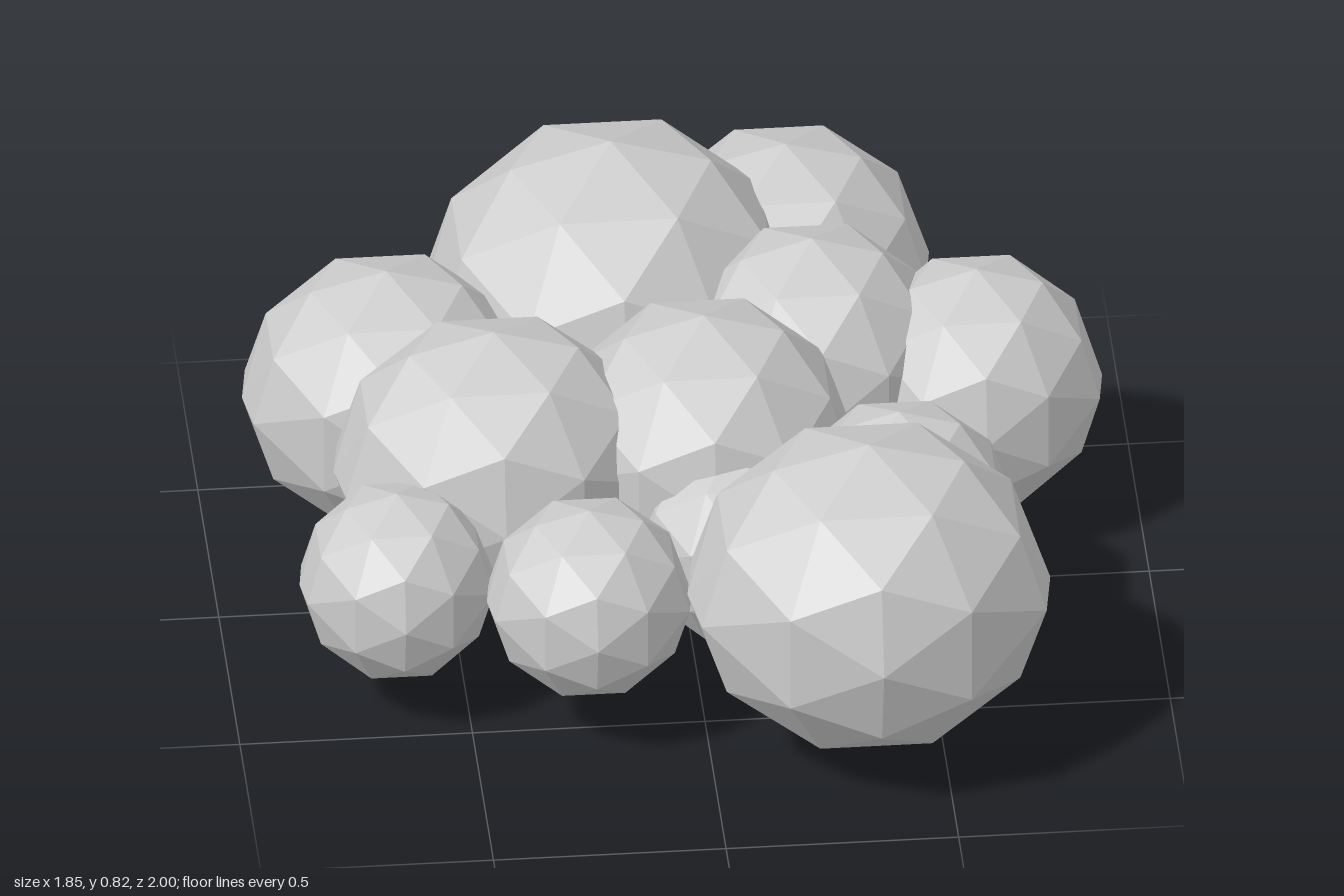
import * as THREE from 'three';

// Each puff: name, centre [x, y, z], radii [x, y, z]
const PUFFS = [
  ['frontRightPuff', [0.34, 0.415, 0.635], [0.39, 0.36, 0.365]],
  ['frontMiddlePuff', [-0.25, 0.34, 0.51], [0.22, 0.22, 0.22]],
  ['frontLeftPuff', [-0.65, 0.315, 0.37], [0.21, 0.22, 0.215]],
  ['middleLeftPuff', [-0.415, 0.405, 0.07], [0.345, 0.335, 0.3]],
  ['centrePuff', [0.04, 0.4, 0.03], [0.325, 0.33, 0.31]],
  ['backPuff', [-0.11, 0.41, -0.53], [0.41, 0.41, 0.39]],
  ['backRightPuff', [0.28, 0.385, -0.7], [0.31, 0.295, 0.3]],
  ['innerRightPuff', [0.3, 0.4, -0.28], [0.29, 0.31, 0.28]],
  ['rightPuff', [0.65, 0.355, -0.235], [0.27, 0.285, 0.265]],
  ['sideRightPuff', [0.44, 0.34, 0.245], [0.25, 0.26, 0.225]],
  ['backLeftPuff', [-0.615, 0.375, -0.28], [0.31, 0.305, 0.295]],
  ['gapPuff', [0.08, 0.3, 0.25], [0.21, 0.23, 0.21]],
];

// Faceted ball whose four level side corners are drawn together into blunt ends
function puffGeometry() {
  const geometry = new THREE.IcosahedronGeometry(1, 1);
  const position = geometry.attributes.position;
  for (let i = 0; i < position.count; i++) {
    const x = position.getX(i);
    const z = position.getZ(i);
    if (Math.abs(x) > 0.82 && Math.abs(z) > 0.5) {
      position.setXYZ(i, Math.sign(x) * 0.95, 0, Math.sign(z) * 0.36);
    }
  }
  geometry.computeVertexNormals();
  return geometry;
}

export function createModel() {
  const cloud = new THREE.Group();
  cloud.name = 'cloud';
  const geometry = puffGeometry();
  const material = new THREE.MeshStandardMaterial({ color: 0xcccccc, flatShading: true });

  // Overlapping puffs, stretched along the main axes
  for (const [name, centre, radii] of PUFFS) {
    const puff = new THREE.Mesh(geometry, material);
    puff.name = name;
    puff.position.set(...centre);
    puff.scale.set(...radii);
    cloud.add(puff);
  }
  return cloud;
}
